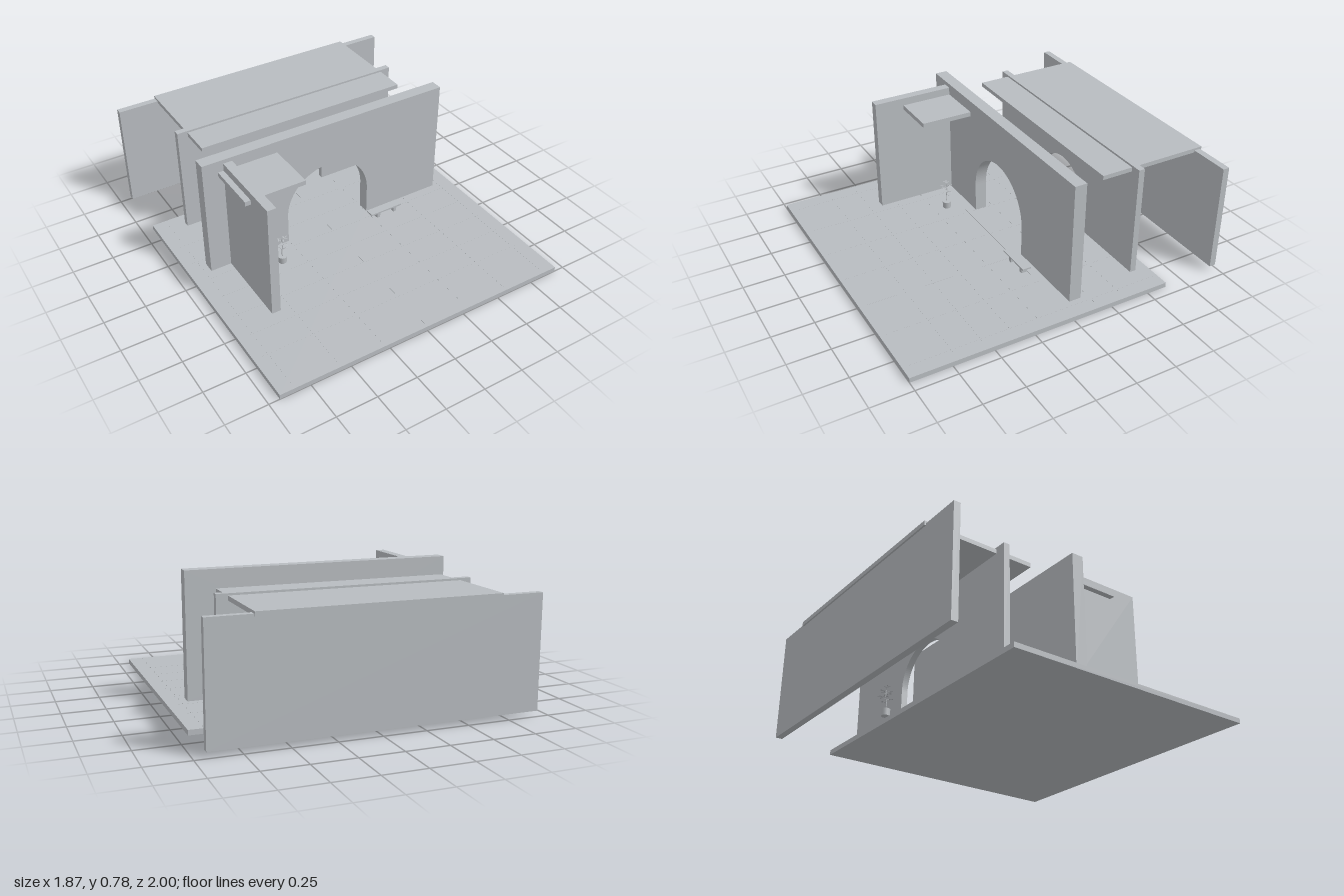
import * as THREE from 'three';

const stone = new THREE.MeshStandardMaterial({ color: 0xb8bcc0 });
stone.name = 'pale grey';
const leafGrey = new THREE.MeshStandardMaterial({ color: 0xb8bcc0, side: THREE.DoubleSide });
leafGrey.name = 'pale grey leaf';

const FLOOR = 0.03;

// Box given by its limits on each axis
function slab(name, x0, x1, y0, y1, z0, z1) {
  const mesh = new THREE.Mesh(new THREE.BoxGeometry(x1 - x0, y1 - y0, z1 - z0), stone);
  mesh.position.set((x0 + x1) / 2, (y0 + y1) / 2, (z0 + z1) / 2);
  mesh.name = name;
  return mesh;
}

// Upright wall with a round-headed doorway open to the floor
function archWall(name, halfWidth, top, z0, z1, radius, spring) {
  const s = new THREE.Shape();
  s.moveTo(-halfWidth, FLOOR);
  s.lineTo(-radius, FLOOR);
  s.lineTo(-radius, spring);
  s.absarc(0, spring, radius, Math.PI, 0, true);
  s.lineTo(radius, FLOOR);
  s.lineTo(halfWidth, FLOOR);
  s.lineTo(halfWidth, top);
  s.lineTo(-halfWidth, top);
  s.closePath();
  const geo = new THREE.ExtrudeGeometry(s, { depth: z1 - z0, bevelEnabled: false, curveSegments: 32 });
  const mesh = new THREE.Mesh(geo, stone);
  mesh.position.z = z0;
  mesh.name = name;
  return mesh;
}

// Thin cylinder from a to b
function twig(a, b, r) {
  const curve = new THREE.LineCurve3(a, b);
  const mesh = new THREE.Mesh(new THREE.TubeGeometry(curve, 1, r, 6), stone);
  mesh.name = 'branch';
  return mesh;
}

// Small potted tree with a crooked stem and tiers of pointed leaves
function pottedPlant(x, z) {
  const plant = new THREE.Group();
  plant.name = 'pottedPlant';
  const pot = new THREE.Mesh(new THREE.CylinderGeometry(0.027, 0.025, 0.042, 20), stone);
  pot.position.y = 0.021;
  pot.name = 'pot';
  const stemCurve = new THREE.CatmullRomCurve3([
    new THREE.Vector3(0, 0.04, 0), new THREE.Vector3(-0.004, 0.075, 0.002),
    new THREE.Vector3(0.004, 0.115, -0.002), new THREE.Vector3(0, 0.172, 0)]);
  const stem = new THREE.Mesh(new THREE.TubeGeometry(stemCurve, 12, 0.0025, 6), stone);
  stem.name = 'stem';
  plant.add(pot, stem);

  const leafShape = new THREE.Shape();
  leafShape.moveTo(0, 0);
  leafShape.quadraticCurveTo(0.011, 0.007, 0.026, 0);
  leafShape.quadraticCurveTo(0.011, -0.007, 0, 0);
  const leafGeo = new THREE.ShapeGeometry(leafShape, 4).rotateX(-Math.PI / 2);

  for (let i = 0; i < 10; i++) {
    const t = 0.45 + 0.055 * i;
    const angle = i * 2.4;
    const reach = 0.032 - 0.0015 * i;
    const start = stemCurve.getPoint(t);
    const end = start.clone().add(
      new THREE.Vector3(Math.cos(angle) * reach, 0.014, -Math.sin(angle) * reach));
    plant.add(twig(start, end, 0.0012));
    for (let k = -1; k <= 1; k++) {
      const leaf = new THREE.Mesh(leafGeo, leafGrey);
      leaf.position.lerpVectors(start, end, k === 0 ? 1 : 0.75);
      leaf.rotation.set(0, angle + k * 0.9, 0.12 * k);
      leaf.name = 'leaf';
      plant.add(leaf);
    }
  }
  plant.position.set(x, FLOOR, z);
  return plant;
}

export function createModel() {
  const model = new THREE.Group();
  model.name = 'archPavilion';

  // Terrace floor with fine paving joints
  model.add(slab('floor', -0.935, 0.935, 0, FLOOR, -0.625, 1));
  const joints = new THREE.Group();
  joints.name = 'pavingJoints';
  for (let i = -3; i <= 3; i++) {
    const x = i * 0.188 * 1.5;
    const z = 0.187 + i * 0.176;
    joints.add(slab('joint', x - 0.0015, x + 0.0015, FLOOR - 0.001, FLOOR + 0.0006, -0.6, 0.97));
    joints.add(slab('joint', -0.88, 0.88, FLOOR - 0.001, FLOOR + 0.0006, z - 0.0015, z + 0.0015));
  }
  model.add(joints);

  // Parallel walls: two with arches, one solid
  model.add(archWall('frontArchWall', 0.81, 0.78, -0.12, -0.045, 0.284, 0.217));
  model.add(archWall('middleArchWall', 0.75, 0.715, -0.546, -0.508, 0.233, 0.202));
  model.add(slab('backWall', -0.935, 0.935, FLOOR, 0.69, -0.99, -0.95));

  // Roof between the middle and back walls
  model.add(slab('roof', -0.685, 0.685, 0.677, 0.703, -1, -0.315));

  // Side fin and the canopy that crosses it
  model.add(slab('sideFin', -0.68, -0.625, FLOOR, 0.755, -0.05, 0.46));
  model.add(slab('canopy', -0.715, -0.34, 0.68, 0.708, -0.05, 0.275));

  // Bench
  const bench = new THREE.Group();
  bench.name = 'bench';
  bench.add(slab('benchSeat', 0.255, 0.48, 0.068, 0.078, 0.005, 0.06));
  for (const x of [0.305, 0.428]) {
    bench.add(slab('benchLeg', x, x + 0.022, FLOOR, 0.068, 0.014, 0.051));
  }
  model.add(bench);

  // Plants
  model.add(pottedPlant(-0.41, 0.1));
  model.add(pottedPlant(0.25, -0.637));

  return model;
}
